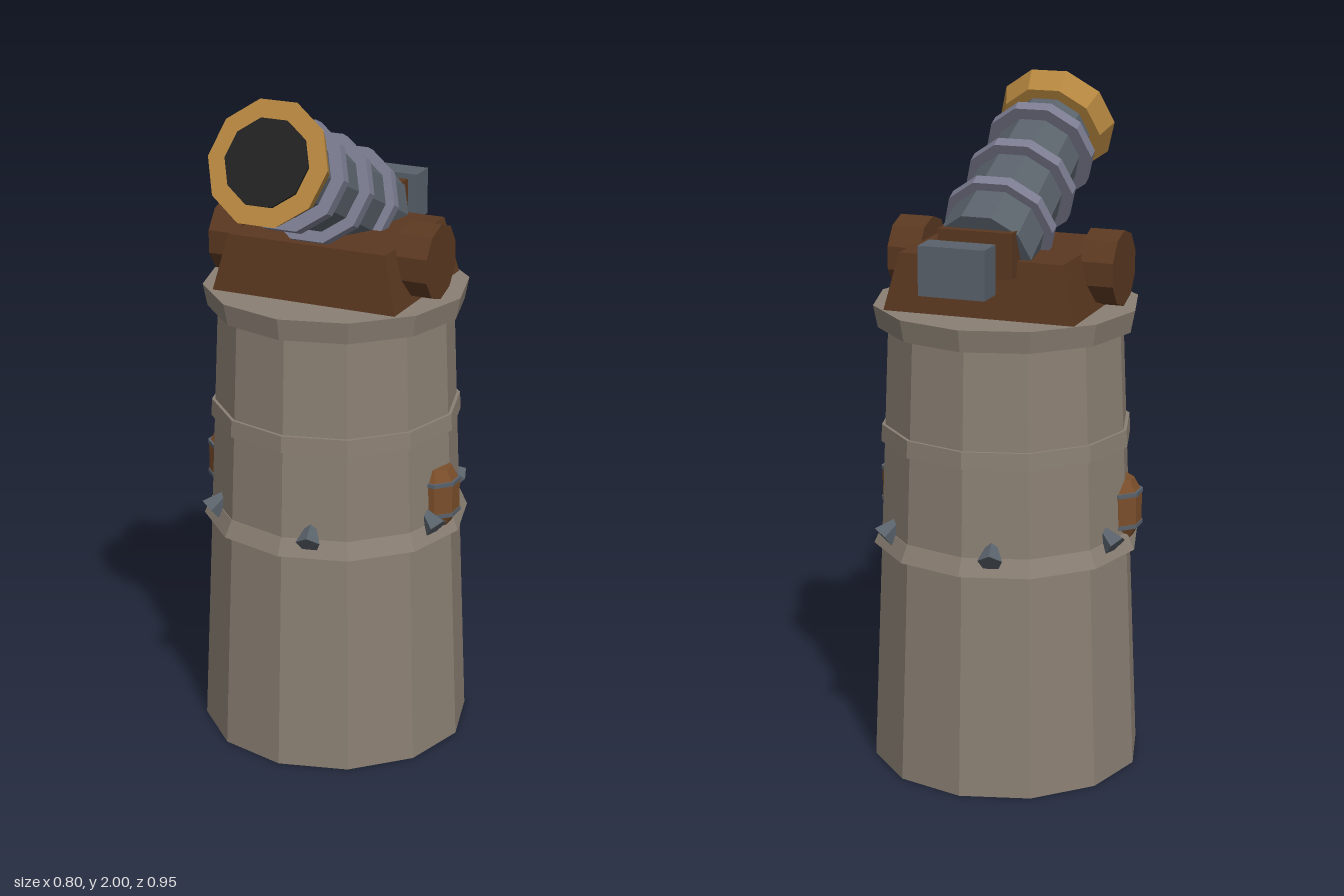
import * as THREE from 'three';

const mat = (name, color) => {
  const m = new THREE.MeshStandardMaterial({ color, flatShading: true });
  m.name = name;
  return m;
};

export function createModel() {
  const stone = mat('stone', 0x8a7f73);
  const iron = mat('iron', 0x59616a);
  const steel = mat('steel', 0x7b7c90);
  const brass = mat('brass', 0xb5863f);
  const wood = mat('darkWood', 0x5a3820);
  const kegWood = mat('kegWood', 0x7a4e2a);
  const black = mat('boreBlack', 0x222222);

  const model = new THREE.Group();
  model.name = 'cannonTower';
  const add = (parent, name, geo, material, x = 0, y = 0, z = 0) => {
    const mesh = new THREE.Mesh(geo, material);
    mesh.name = name;
    mesh.position.set(x, y, z);
    parent.add(mesh);
    return mesh;
  };

  // Twelve-sided stone tower with its bands, slightly behind the centre
  const tower = new THREE.Group();
  tower.name = 'tower';
  tower.position.z = -0.04;
  model.add(tower);
  const course = (name, r0, r1, y0, y1, segs = 1) =>
    add(tower, name, new THREE.CylinderGeometry(r1, r0, y1 - y0, 12, segs), stone, 0, (y0 + y1) / 2, 0);
  course('towerBase', 0.4, 0.372, 0, 0.67, 3);
  course('towerShaft', 0.372, 0.345, 0.67, 1.33);
  course('lowerBand', 0.395, 0.372, 0.67, 0.72);
  course('middleBand', 0.37, 0.367, 0.98, 1.03);
  course('topSlab', 0.375, 0.388, 1.32, 1.385);

  // Six studs around the tower, wide ends pointing out and down
  for (let i = 0; i < 6; i++) {
    const arm = new THREE.Group();
    arm.name = 'studArm';
    arm.rotation.y = THREE.MathUtils.degToRad(13.3 + i * 60);
    tower.add(arm);
    const stud = add(arm, 'stud', new THREE.CylinderGeometry(0.009, 0.037, 0.075, 5), iron, 0, 0.741, 0.362);
    stud.rotation.x = -THREE.MathUtils.degToRad(50);
  }

  // Banded kegs and wheel-like trunnions on both sides
  for (const s of [-1, 1]) {
    const keg = new THREE.Group();
    keg.name = s > 0 ? 'leftKeg' : 'rightKeg';
    keg.position.set(s * 0.33, 0.79, -0.01);
    keg.rotation.y = Math.PI / 8;
    model.add(keg);
    const profile = [[0, -0.088], [0.05, -0.088], [0.074, -0.045], [0.074, 0.045], [0.05, 0.088], [0, 0.088]];
    add(keg, 'kegBody', new THREE.LatheGeometry(profile.map(p => new THREE.Vector2(...p)), 8), kegWood);
    for (const y of [-0.048, 0.048]) add(keg, 'kegHoop', new THREE.CylinderGeometry(0.077, 0.077, 0.012, 8), iron, 0, y, 0);

    const wheel = new THREE.CylinderGeometry(0.11, 0.11, 0.1, 10).rotateX(Math.PI / 2).rotateY(Math.PI / 2);
    add(model, 'trunnion', wheel, wood, s * 0.292, 1.497, -0.004);
  }

  // Carriage: a box narrowing towards the top
  const carriage = new THREE.BoxGeometry(0.57, 0.165, 0.466);
  const p = carriage.attributes.position;
  for (let i = 0; i < p.count; i++) {
    if (p.getY(i) > 0) p.setXYZ(i, p.getX(i) * 0.86, p.getY(i), p.getZ(i) * 0.895);
  }
  add(model, 'carriage', carriage, wood, 0, 1.4675, -0.045);
  add(model, 'breechBlock', new THREE.BoxGeometry(0.22, 0.13, 0.09), wood, 0, 1.572, -0.252);
  add(model, 'counterweight', new THREE.BoxGeometry(0.194, 0.14, 0.086), iron, 0, 1.555, -0.433);

  // Ten-sided cannon, origin at the muzzle face, pitched up 25 degrees
  const cannon = new THREE.Group();
  cannon.name = 'cannon';
  cannon.position.set(0, 1.843, 0.397);
  cannon.rotation.x = -THREE.MathUtils.degToRad(25);
  model.add(cannon);
  const tube = (name, rFront, rBack, zFront, zBack, material) => {
    const geo = new THREE.CylinderGeometry(rFront, rBack, zFront - zBack, 10)
      .rotateY(Math.PI / 2).rotateX(Math.PI / 2);
    add(cannon, name, geo, material, 0, 0, (zFront + zBack) / 2);
  };
  tube('barrel', 0.122, 0.142, -0.03, -0.69, iron);
  tube('muzzle', 0.18, 0.155, 0, -0.07, brass);
  tube('bore', 0.125, 0.125, 0.009, 0, black);
  for (const z of [-0.167, -0.354, -0.542]) tube('barrelRing', 0.164, 0.164, z + 0.018, z - 0.018, steel);

  return model;
}
